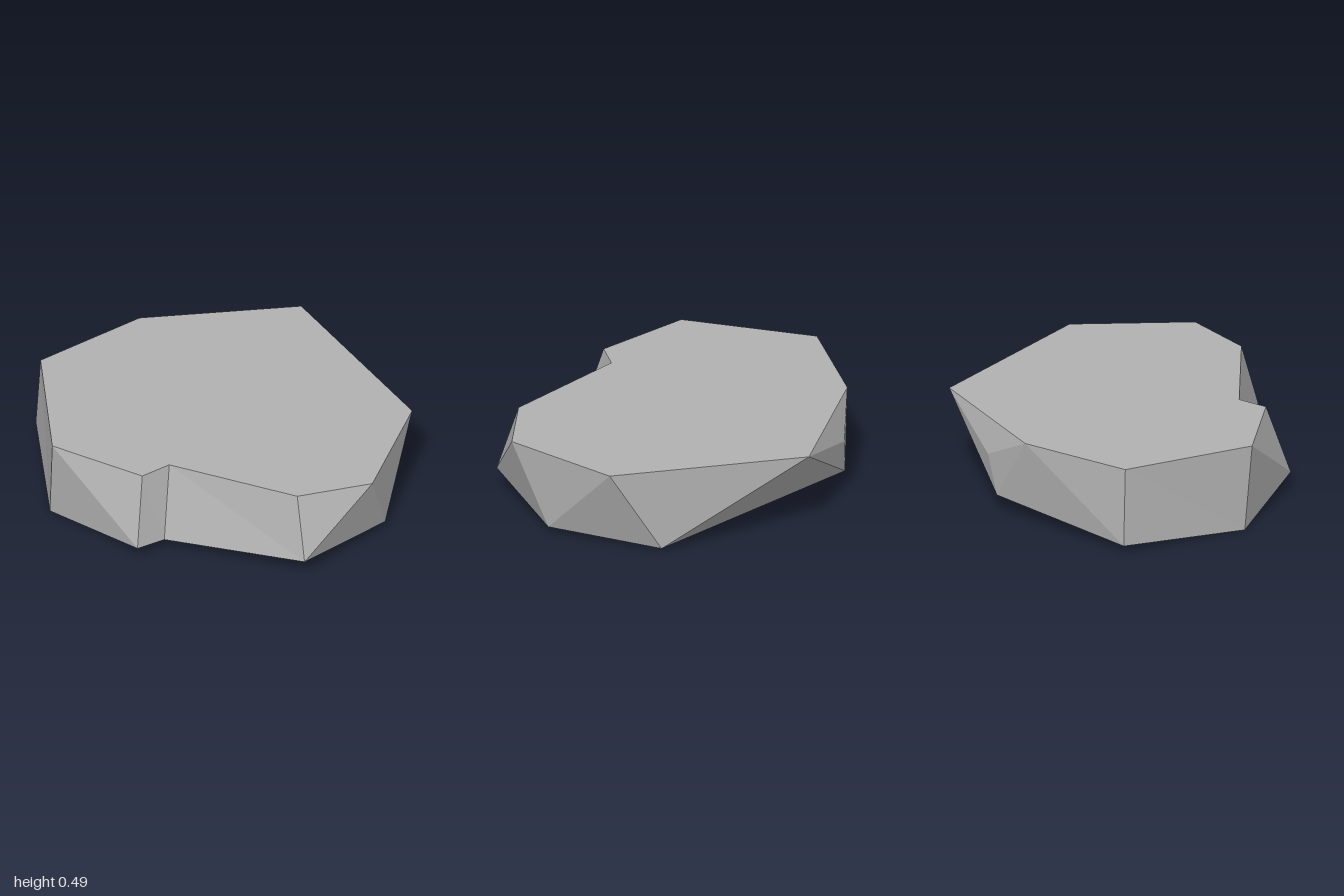
import * as THREE from 'three';

const TOP = 0.49;

// Upper rim, counter-clockwise seen from above: [x, z]
const rim = {
  A: [-1, 0.05], B: [-0.59, 0.44], C: [-0.42, 0.38], D: [0.19, 0.835], E: [0.62, 0.83],
  F: [1, 0.25], G: [0.65, -0.82], H: [-0.24, -0.945], I: [-0.865, -0.715],
};

// Lower corners of the rock, plus one chipped corner (j) on the back: [x, y, z]
const corners = {
  a: [-1, 0, 0], b: [-0.65, 0.09, 0.565], c: [-0.48, 0.07, 0.5], d: [0.2, 0.12, 0.955],
  e: [0.75, 0.04, 0.615], f: [0.92, 0.02, -0.03], g: [0.01, 0.1, -0.957],
  i: [-0.885, 0.045, -0.74], j: [0.09, 0.32, -0.96],
};
for (const [name, [x, z]] of Object.entries(rim)) corners[name] = [x, TOP, z];

// Flat facets, each named by its three corners
function facets(list) {
  const points = list.split(' ').flatMap((face) => [...face].flatMap((k) => corners[k]));
  const geometry = new THREE.BufferGeometry();
  geometry.setAttribute('position', new THREE.Float32BufferAttribute(points, 3));
  geometry.computeVertexNormals();
  return geometry;
}

export function createModel() {
  const group = new THREE.Group();
  group.name = 'rock';
  const stone = new THREE.MeshStandardMaterial({ color: 0xb0b0b0, flatShading: true });
  stone.name = 'grey stone';

  const add = (name, geometry) => {
    const mesh = new THREE.Mesh(geometry, stone);
    mesh.name = name;
    group.add(mesh);
    return mesh;
  };

  // Level top with the notch at the front
  const outline = new THREE.Shape(Object.values(rim).map(([x, z]) => new THREE.Vector2(x, -z)));
  const top = new THREE.ShapeGeometry(outline).rotateX(-Math.PI / 2).translate(0, TOP, 0);
  add('flatTop', top);

  // Sloping sides: front, then right round the back
  add('frontSides', facets('Aab AbB Bbc BcC Ccd CdD DdE Ede EeF'));
  add('backSides', facets('Fef FfG Gfg Ggj GjH jgH Hgi HiI Iia IaA'));

  // Shallow underside, fanned from the lowest corner
  add('underside', facets('acb adc aed afe agf aig'));

  return group;
}
